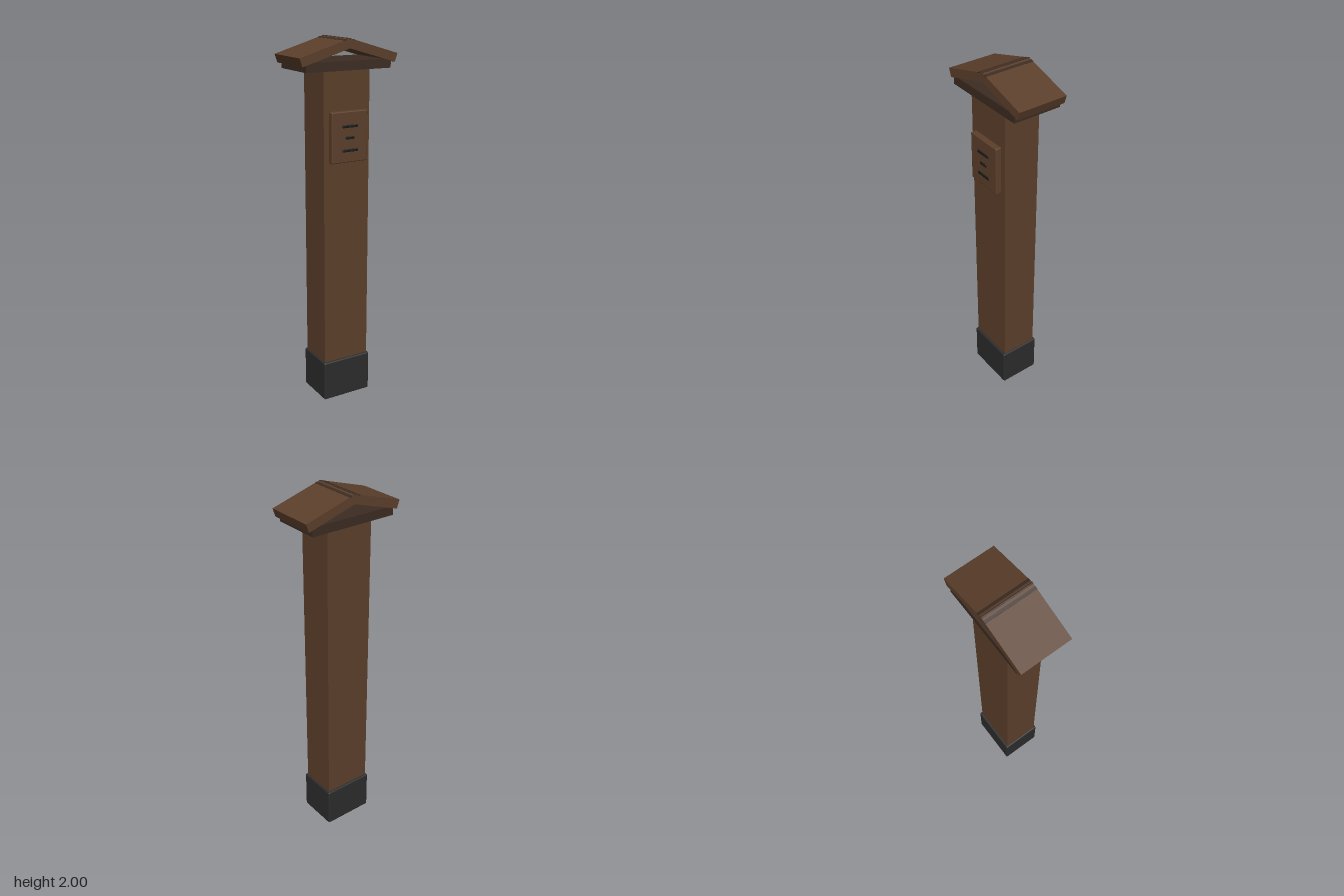
import * as THREE from 'three';
import { RoundedBoxGeometry } from 'three/addons/geometries/RoundedBoxGeometry.js';

const material = (name, color) => Object.assign(new THREE.MeshStandardMaterial({ color }), { name });

export function createModel() {
  const group = new THREE.Group();
  const brown = material('brown wood', 0x5c3f2b);
  const darkBrown = material('dark brown wood', 0x3c2c22);
  const charcoal = material('charcoal base', 0x2c2c2d);
  const black = material('black slots', 0x1a1a1a);

  const add = (name, geometry, mat) => {
    const mesh = new THREE.Mesh(geometry, mat);
    mesh.name = name;
    group.add(mesh);
    return mesh;
  };
  // Box given by its min and max corners, with optional rounded edges
  const box = (name, mat, [x0, y0, z0], [x1, y1, z1], radius = 0) => {
    const size = [x1 - x0, y1 - y0, z1 - z0];
    const geometry = radius ? new RoundedBoxGeometry(...size, 2, radius) : new THREE.BoxGeometry(...size);
    add(name, geometry, mat).position.set((x0 + x1) / 2, (y0 + y1) / 2, (z0 + z1) / 2);
  };

  // Post, whose end shows underneath the base sleeve
  box('post', brown, [-0.137, 0, -0.104], [0.135, 1.85, 0.103]);
  box('base', charcoal, [-0.146, 0.002, -0.117], [0.145, 0.23, 0.116], 0.008);

  // Front plaque with three slots
  box('plaque', brown, [-0.108, 1.37, 0.1], [0.106, 1.637, 0.135], 0.006);
  [[1.56, 0.045], [1.5, 0.026], [1.434, 0.045]].forEach(([y, half]) =>
    box('plaqueSlot', black, [-half, y - 0.007, 0.132], [half, y + 0.007, 0.141], 0.003));

  // Eave board under the open gable
  box('eaveBoard', darkBrown, [-0.249, 1.842, -0.139], [0.246, 1.889, 0.131]);

  // Two sloping roof slabs meeting at the ridge
  const zBack = -0.143, depth = 0.276;
  const prism = (name, mat, points, z = zBack, d = depth) => {
    const shape = new THREE.Shape(points.map(([x, y]) => new THREE.Vector2(x, y)));
    add(name, new THREE.ExtrudeGeometry(shape, { depth: d, bevelEnabled: false }), mat).position.z = z;
  };
  const top = (x) => 1.999 - Math.abs(x) * 0.295;
  for (const s of [-1, 1]) {
    prism(s > 0 ? 'roofLeft' : 'roofRight', brown,
      [[0, 1.95], [s * 0.27, 1.871], [s * 0.285, top(0.285)], [0, top(0)]]);
  }

  // Thin dark strips along the ridge
  const strip = (x0, x1) => {
    const xs = x0 < 0 && x1 > 0 ? [x0, 0, x1] : [x0, x1];
    prism('ridgeStrip', darkBrown, [
      ...xs.map((x) => [x, top(x) - 0.003]),
      ...xs.reverse().map((x) => [x, top(x) + 0.001]),
    ], zBack - 0.0005, depth + 0.001);
  };
  strip(-0.033, -0.018);
  strip(-0.006, 0.004);
  strip(0.015, 0.031);

  return group;
}
